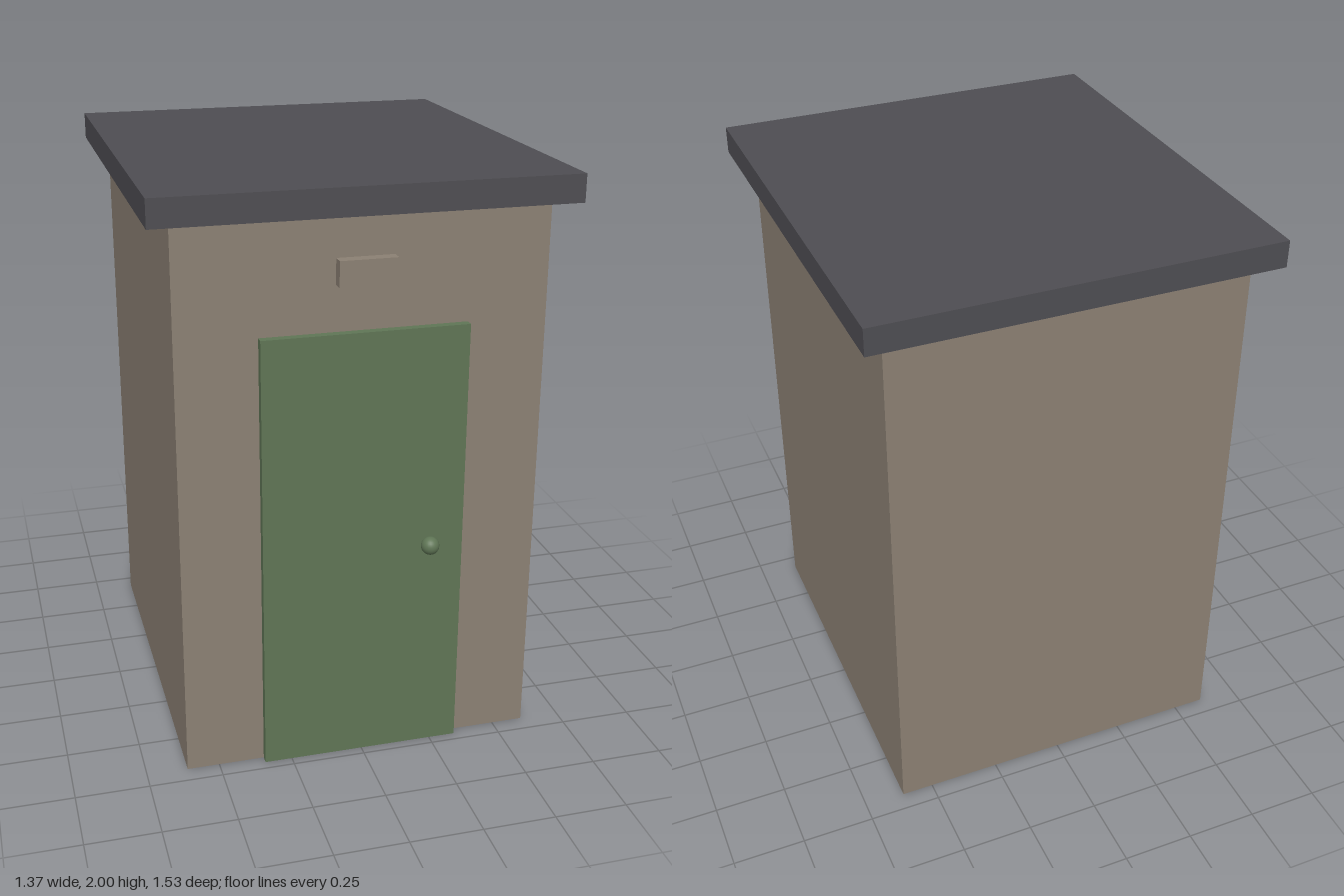
import * as THREE from 'three';

const material = (name, color) => Object.assign(new THREE.MeshStandardMaterial({ color }), { name });

export function createModel() {
  const wallPaint = material('taupe wall', 0x8b8073);
  const doorPaint = material('green door', 0x5f7555);
  const roofPaint = material('dark grey roof', 0x4e4d52);

  const group = new THREE.Group();
  group.name = 'shed';

  const add = (name, geometry, mat, x, y, z) => {
    const mesh = new THREE.Mesh(geometry, mat);
    mesh.name = name;
    mesh.position.set(x, y, z);
    group.add(mesh);
  };
  // Box given by its width, bottom and top, back and front
  const addBox = (name, mat, w, y0, y1, z0, z1) =>
    add(name, new THREE.BoxGeometry(w, y1 - y0, z1 - z0), mat, 0, (y0 + y1) / 2, (z0 + z1) / 2);

  // Building shell and overhanging flat roof
  addBox('walls', wallPaint, 1.221, 0, 1.908, -0.687, 0.687);
  addBox('roof', roofPaint, 1.374, 1.908, 2, -0.763, 0.763);

  // Front fittings
  addBox('door', doorPaint, 0.687, 0, 1.527, 0.687, 0.716);
  addBox('plaque', wallPaint, 0.19, 1.679, 1.765, 0.687, 0.727);
  add('doorKnob', new THREE.SphereGeometry(0.031, 24, 16), doorPaint, 0.226, 0.765, 0.729);

  return group;
}
